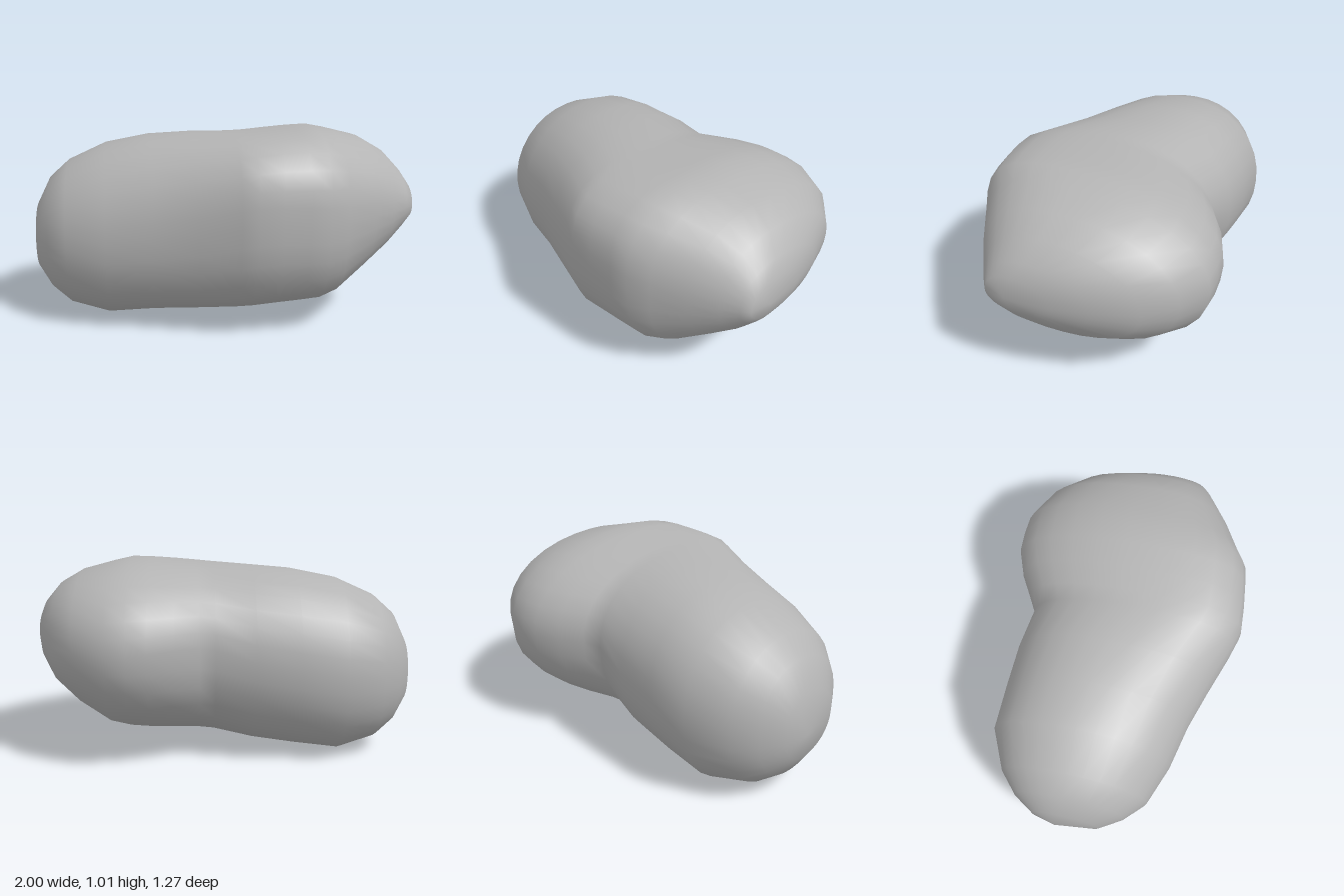
import * as THREE from 'three';

// Cross-sections along x: [x, back z, front z, bottom y, top y, crown z, waist y, upper-front squareness]
const SECTIONS = [
  [-0.97, -0.25, 0.10, 0.25, 0.60, -0.10, 0.42, 2.1],
  [-0.90, -0.36, 0.22, 0.14, 0.74, -0.09, 0.44, 2.1],
  [-0.80, -0.45, 0.32, 0.06, 0.83, -0.08, 0.45, 2.1],
  [-0.60, -0.54, 0.40, 0.005, 0.92, -0.08, 0.47, 2.2],
  [-0.37, -0.53, 0.455, 0.03, 0.965, -0.06, 0.50, 2.4],
  [-0.15, -0.515, 0.53, 0.055, 0.98, -0.02, 0.54, 2.7],
  [0.05, -0.475, 0.605, 0.08, 0.99, 0.08, 0.60, 3.0],
  [0.13, -0.52, 0.63, 0.09, 0.995, 0.10, 0.62, 3.2],
  [0.25, -0.59, 0.622, 0.10, 1.005, 0.10, 0.62, 3.4],
  [0.38, -0.64, 0.61, 0.11, 1.015, 0.10, 0.61, 3.3],
  [0.48, -0.645, 0.60, 0.12, 1.02, 0.10, 0.60, 3.0],
  [0.58, -0.64, 0.55, 0.15, 1.00, 0.08, 0.60, 2.6],
  [0.74, -0.55, 0.465, 0.26, 0.96, 0.06, 0.61, 2.3],
  [0.86, -0.41, 0.39, 0.36, 0.89, 0.08, 0.61, 2.1],
  [0.94, -0.20, 0.34, 0.46, 0.80, 0.12, 0.62, 2.0],
  [0.98, -0.02, 0.31, 0.53, 0.73, 0.17, 0.62, 2.0],
];
const SIDES = 32;

// One loop made of four superellipse quadrants
function ring([x, back, front, bottom, top, cz, cy, square]) {
  const points = [];
  for (let i = 0; i < SIDES; i++) {
    const a = (i / SIDES) * Math.PI * 2;
    const c = Math.cos(a), s = Math.sin(a);
    const n = c > 0 && s > 0 ? square : c > 0 ? Math.min(square, 2.6) : 2.2;
    const r = Math.pow(Math.pow(Math.abs(c), n) + Math.pow(Math.abs(s), n), -1 / n);
    points.push(x, cy + s * r * (s > 0 ? top - cy : cy - bottom), cz + c * r * (c > 0 ? front - cz : cz - back));
  }
  return points;
}

export function createModel() {
  const group = new THREE.Group();
  const stoneGrey = new THREE.MeshStandardMaterial({ color: 0xb4b4b4 });
  stoneGrey.name = 'stoneGrey';

  // Rings followed by the two end poles
  const positions = SECTIONS.flatMap(ring);
  const startPole = SECTIONS.length * SIDES, endPole = startPole + 1;
  positions.push(-1, 0.4, -0.13, 1, 0.62, 0.2);

  const index = [];
  const last = (SECTIONS.length - 1) * SIDES;
  for (let i = 0; i < SIDES; i++) {
    const j = (i + 1) % SIDES;
    for (let k = 0; k < last; k += SIDES) {
      index.push(k + i, k + SIDES + i, k + j, k + j, k + SIDES + i, k + SIDES + j);
    }
    index.push(startPole, i, j, endPole, last + j, last + i);
  }

  const geometry = new THREE.BufferGeometry();
  geometry.setAttribute('position', new THREE.Float32BufferAttribute(positions, 3));
  geometry.setIndex(index);
  geometry.computeVertexNormals();

  const boulder = new THREE.Mesh(geometry, stoneGrey);
  boulder.name = 'boulder';
  group.add(boulder);
  return group;
}
